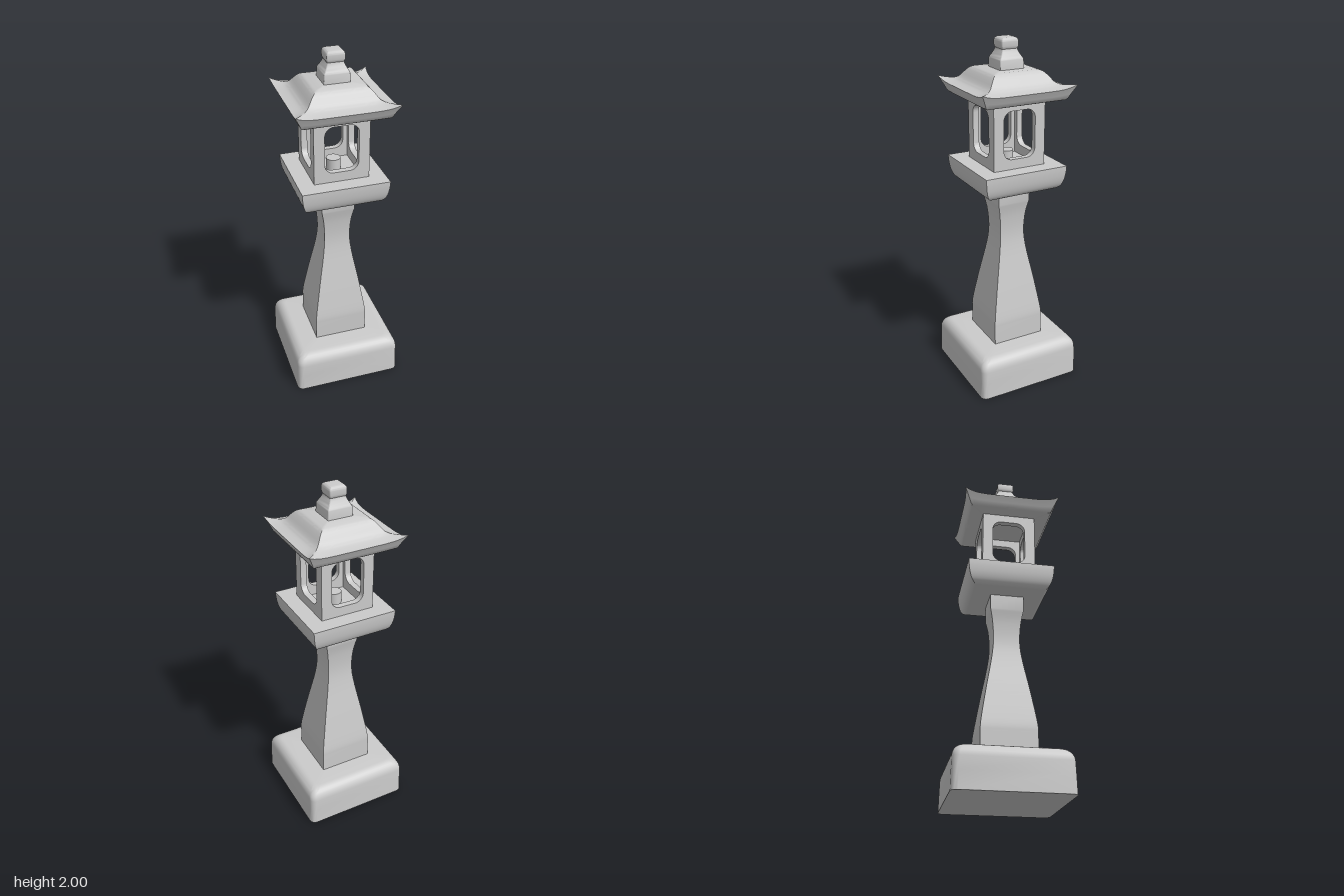
import * as THREE from 'three';
import { toCreasedNormals } from 'three/addons/utils/BufferGeometryUtils.js';

const stone = new THREE.MeshStandardMaterial({ color: 0xcccccc });

// Unit-free square outline: half width h, corner radius r, n steps along each side
function squareRing(h, r, n) {
  const pts = [];
  const q = Math.min(r, h), c = h - q, arc = r > 0 ? 6 : 0;
  for (let s = 0; s < 4; s++) {
    const cos = Math.round(Math.cos(s * Math.PI / 2)), sin = Math.round(Math.sin(s * Math.PI / 2));
    const add = (x, z) => pts.push([x * cos - z * sin, x * sin + z * cos]);
    for (let i = 0; i < n; i++) add(h, -c + 2 * c * i / n);
    for (let i = 0; i <= arc; i++) {
      if (arc > 0 && i === arc) break; // next side starts here
      const a = arc ? i / arc * Math.PI / 2 : 0;
      if (arc || n) add(c + q * Math.cos(a), c + q * Math.sin(a));
      if (!arc) pts.pop();
    }
  }
  return pts;
}

// Stacks square sections; profile rows are [halfWidth, y, cornerLift], bottom to top
function squareLoft(name, profile, { radius = 0, steps = 1, crease = 0.6 } = {}) {
  const pos = [], index = [];
  const rows = [[0, profile[0][1]], ...profile, [0, profile[profile.length - 1][1]]];
  let n = 0;
  rows.forEach(([h, y, lift = 0]) => {
    const ring = squareRing(h, radius, steps);
    n = ring.length;
    ring.forEach(([x, z]) => {
      const big = Math.max(Math.abs(x), Math.abs(z)) || 1;
      const t = Math.pow(Math.min(Math.abs(x), Math.abs(z)) / big, 7);
      const k = 1 + 1.6 * lift * t;
      pos.push(x * k, y + lift * t, z * k);
    });
  });
  for (let j = 0; j < rows.length - 1; j++) {
    for (let i = 0; i < n; i++) {
      const a = j * n + i, b = j * n + (i + 1) % n;
      index.push(a, a + n, b, b, a + n, b + n);
    }
  }
  const g = new THREE.BufferGeometry();
  g.setAttribute('position', new THREE.Float32BufferAttribute(pos, 3));
  g.setIndex(index);
  const mesh = new THREE.Mesh(toCreasedNormals(g, crease), stone);
  mesh.name = name;
  return mesh;
}

// Smooth curve through a few profile points
const smooth = (pts, n) => new THREE.SplineCurve(pts.map(p => new THREE.Vector2(...p)))
  .getPoints(n).map(p => [p.x, p.y]);

// Quarter-round edge from (h, y) curving inwards and up
const roundTop = (h, y, rx, ry, n = 8) => Array.from({ length: n + 1 }, (_, i) => {
  const a = i / n * Math.PI / 2;
  return [h - rx + rx * Math.cos(a), y + ry * Math.sin(a)];
});

// Four walls with rounded windows, each lapping the next at the corner
function lightChamber() {
  const group = new THREE.Group();
  group.name = 'lightChamber';
  const H = 0.155, T = 0.035, y0 = 1.31, y1 = 1.70;
  const wall = new THREE.Shape();
  wall.moveTo(-H, y0);
  wall.lineTo(H - T, y0);
  wall.lineTo(H - T, y1);
  wall.lineTo(-H, y1);
  wall.closePath();
  const w = 0.095, b = 1.37, t = 1.637, r = 0.05;
  const win = new THREE.Path();
  win.moveTo(-w + r, b);
  win.lineTo(w - r, b);
  win.absarc(w - r, b + r, r, -Math.PI / 2, 0);
  win.absarc(w - r, t - r, r, 0, Math.PI / 2);
  win.absarc(-w + r, t - r, r, Math.PI / 2, Math.PI);
  win.absarc(-w + r, b + r, r, Math.PI, Math.PI * 1.5);
  wall.holes.push(win);
  const raw = new THREE.ExtrudeGeometry(wall, { depth: T, bevelEnabled: false, curveSegments: 8 });
  raw.translate(0, 0, H - T);
  const geo = toCreasedNormals(raw, 0.6);
  for (let i = 0; i < 4; i++) {
    const m = new THREE.Mesh(geo, stone);
    m.name = 'windowWall';
    m.rotation.y = i * Math.PI / 2;
    group.add(m);
  }
  // Small lamp standing on the chamber floor
  const lamp = new THREE.Mesh(new THREE.CylinderGeometry(0.04, 0.04, 0.07, 24), stone);
  lamp.name = 'lamp';
  lamp.position.y = 1.345;
  group.add(lamp);
  return group;
}

export function createModel() {
  const model = new THREE.Group();
  model.name = 'stoneLantern';

  // Base block with softened upper edge
  model.add(squareLoft('base', [[0.317, 0], [0.315, 0.10], ...roundTop(0.313, 0.17, 0.06, 0.07)],
    { radius: 0.035 }));

  // Waisted square post
  model.add(squareLoft('post', [[0.155, 0.23],
    ...smooth([[0.155, 0.35], [0.151, 0.41], [0.12, 0.60], [0.086, 0.79],
      [0.075, 0.90], [0.081, 1.01], [0.096, 1.09]], 28), [0.097, 1.19]]));

  // Platform, bowl-shaped beneath and flat on top
  model.add(squareLoft('platform', smooth([[0.185, 1.175], [0.205, 1.181], [0.224, 1.2],
    [0.237, 1.235], [0.244, 1.28], [0.246, 1.315]], 14)));

  model.add(lightChamber());

  // Roof with upswept eave corners
  model.add(squareLoft('roof', [[0.232, 1.683], [0.24, 1.688, 0.004], [0.25, 1.71, 0.01], [0.269, 1.745, 0.025],
    [0.262, 1.746, 0.022],
    ...smooth([[0.25, 1.748], [0.215, 1.757], [0.19, 1.775], [0.165, 1.807], [0.145, 1.828], [0.125, 1.837]], 16)
      .map(([h, y]) => [h, y, 0.018 * Math.max(0, (h - 0.19) / 0.06)])],
    { steps: 24, crease: 0.7 }));

  // Finial: flared foot and rounded cap
  model.add(squareLoft('finialFoot', [[0.072, 1.83], [0.07, 1.885],
    ...smooth([[0.068, 1.891], [0.056, 1.912], [0.046, 1.935], [0.043, 1.95]], 8)], { radius: 0.005 }));
  model.add(squareLoft('finialCap', [[0.04, 1.935], [0.047, 1.943], [0.05, 1.955],
    ...roundTop(0.05, 1.978, 0.02, 0.022)], { radius: 0.006 }));

  return model;
}
